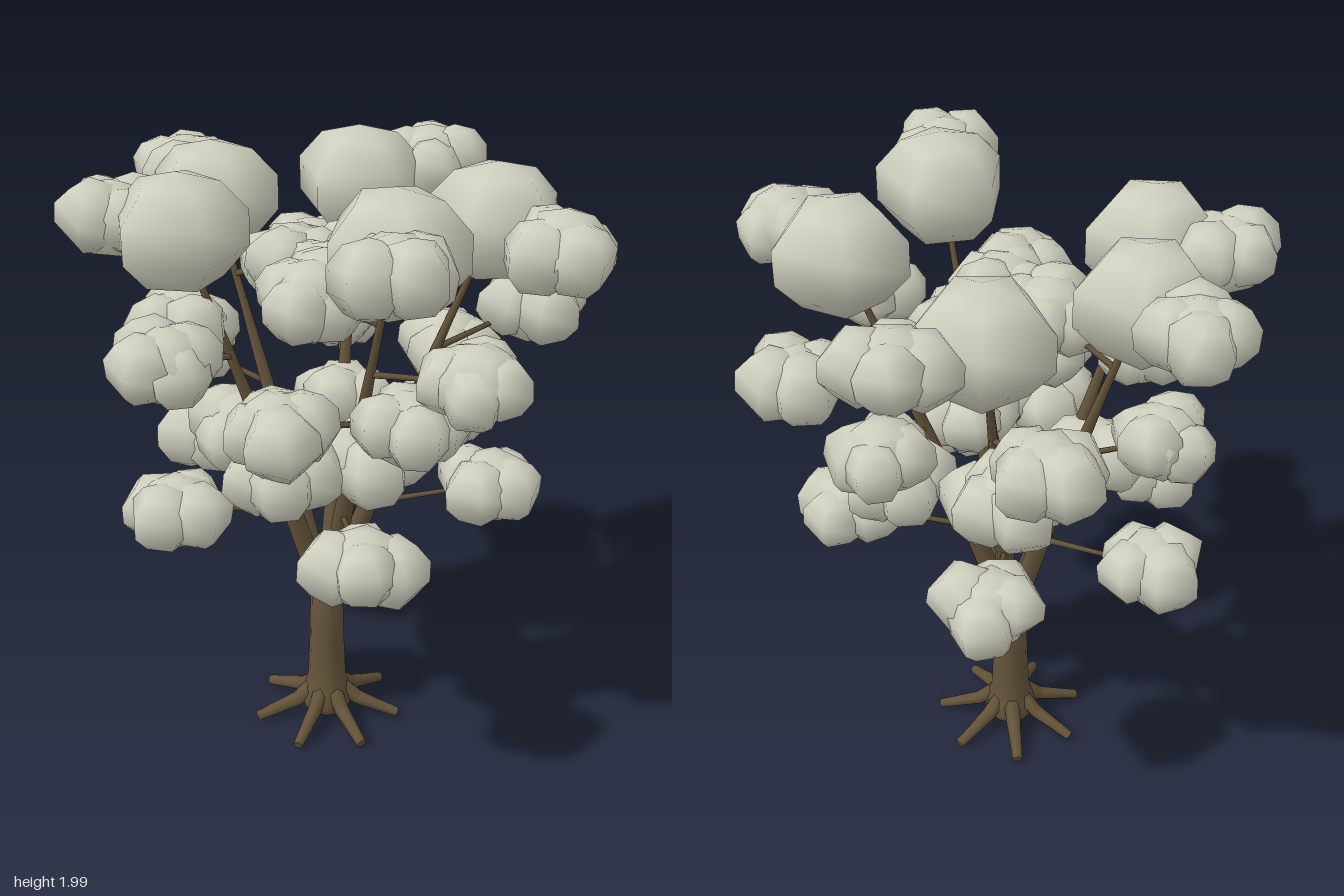
import * as THREE from 'three';

const bark = new THREE.MeshStandardMaterial({ color: 0x64543a });
const leaf = new THREE.MeshStandardMaterial({ color: 0xcfcfbf });
const BASE = new THREE.Vector3(-0.035, 0, -0.02);

// Five-sided smooth ball shared by all foliage
const ball = new THREE.SphereGeometry(1, 5, 5);

let seed = 7;
const rand = () => (seed = (seed * 16807) % 2147483647) / 2147483647;

// Tapered stick between two points
function stick(name, a, b, ra, rb, sides = 6) {
  const dir = b.clone().sub(a);
  const mesh = new THREE.Mesh(new THREE.CylinderGeometry(rb, ra, dir.length(), sides), bark);
  mesh.position.copy(a).lerp(b, 0.5);
  mesh.quaternion.setFromUnitVectors(new THREE.Vector3(0, 1, 0), dir.normalize());
  mesh.name = name;
  return mesh;
}

// Foliage ball with one corner pointing along the given angle
function puff(name, x, y, z, r, ry, degrees) {
  const mesh = new THREE.Mesh(ball, leaf);
  mesh.position.set(x, y, z);
  mesh.scale.set(r, ry, r);
  mesh.rotation.y = Math.PI - THREE.MathUtils.degToRad(degrees);
  mesh.name = name;
  return mesh;
}

// Group of a few large, slightly tilted, overlapping balls
function leafCluster(x, y, z) {
  const group = new THREE.Group();
  group.name = 'leafCluster';
  group.add(puff('leafBall', x, y, z, 0.135, 0.115, rand() * 360));
  const turn = rand() * 6.28;
  for (let i = 0; i < 4; i++) {
    const a = turn + (i * Math.PI) / 2;
    const d = 0.06 + rand() * 0.025;
    const r = 0.1 + rand() * 0.022;
    const leafBall = puff('leafBall', x + Math.cos(a) * d, y + (rand() - 0.5) * 0.04,
      z + Math.sin(a) * d, r, r * 0.92, rand() * 360);
    leafBall.rotation.x = (rand() - 0.5) * 0.4;
    leafBall.rotation.z = (rand() - 0.5) * 0.4;
    group.add(leafBall);
  }
  return group;
}

// Crown balls at the limb tips: x, y, z, corner angle
const CROWN = [
  [-0.46, 1.775, -0.11, 90],
  [-0.23, 1.765, -0.4, 90],
  [0.26, 1.76, -0.36, 85],
  [0.38, 1.785, 0.25, 75],
  [-0.06, 1.825, 0.44, 180],
];

// Leaf clusters in tiers: height, then x, z pairs
const TIERS = [
  [0.91, [[-0.53, -0.05], [-0.18, 0.5], [0.41, 0.25], [0.27, -0.42], [-0.24, -0.5]]],
  [1.1, [[-0.32, 0.24], [-0.03, 0.25], [0.32, 0.05], [0.12, -0.2], [-0.27, -0.14]]],
  [1.28, [[-0.34, 0.27], [0, 0.43], [0.42, -0.05], [0.22, -0.44], [-0.32, -0.4]]],
  [1.46, [[-0.59, 0.08], [0.12, 0.59], [0.58, 0.17], [0.2, -0.59], [-0.43, -0.17]]],
  [1.63, [[-0.1, -0.11], [0.16, -0.08], [-0.07, 0.09], [-0.19, 0.2]]],
  [1.78, [[-0.59, -0.3], [-0.22, -0.65], [0.54, -0.39], [0.42, 0.53], [-0.18, 0.64]]],
];

export function createModel() {
  const tree = new THREE.Group();
  tree.name = 'tree';

  // Trunk with flared foot
  const profile = [[0, 0.03], [0.075, 0.03], [0.088, 0.06], [0.08, 0.1], [0.064, 0.16],
    [0.058, 0.3], [0.052, 0.55], [0, 0.55]].map(([r, y]) => new THREE.Vector2(r, y));
  const trunk = new THREE.Mesh(new THREE.LatheGeometry(profile, 12), bark);
  trunk.position.copy(BASE);
  trunk.name = 'trunk';
  tree.add(trunk);

  // Roots, each bending outward to the ground
  for (let i = 0; i < 7; i++) {
    const a = (i * Math.PI * 2) / 7 + 0.66;
    const at = (d, y) => new THREE.Vector3(BASE.x + Math.cos(a) * d, y, BASE.z + Math.sin(a) * d);
    tree.add(stick('root', at(0.04, 0.12), at(0.11, 0.065), 0.03, 0.024));
    tree.add(stick('root', at(0.1, 0.07), at(0.245, 0.022), 0.025, 0.017));
  }

  // Limbs rising from the trunk into the crown balls
  const limbs = CROWN.map(([x, y, z, turn]) => {
    const tip = new THREE.Vector3(x, y, z);
    const start = new THREE.Vector3(BASE.x + (x - BASE.x) * 0.05, 0.52, BASE.z + (z - BASE.z) * 0.05);
    const curve = new THREE.QuadraticBezierCurve3(start, start.clone().lerp(tip, 0.5)
      .lerp(new THREE.Vector3(BASE.x, 1.15, BASE.z), 0.08), tip);
    const radii = [0.036, 0.031, 0.022, 0.013, 0.008];
    for (let i = 0; i < 4; i++) {
      tree.add(stick('limb', curve.getPoint(i / 4), curve.getPoint((i + 1) / 4), radii[i], radii[i + 1], 7));
    }
    tree.add(puff('crownBall', x, y, z, 0.215, 0.175, turn));
    return curve;
  });

  // Clusters, each on a twig from the nearest limb
  for (const [y, spots] of TIERS) {
    for (const [x, z] of spots) {
      const lift = y === 1.78 && z > 0.6 ? 0.06 : 0;
      const centre = new THREE.Vector3(x, y + lift, z);
      const joints = limbs.map((c) => c.getPoint(Math.max(0.2, (y - 0.6) / 1.27)));
      joints.sort((p, q) => p.distanceTo(centre) - q.distanceTo(centre));
      tree.add(stick('twig', joints[0], centre, 0.011, 0.006, 5));
      tree.add(leafCluster(centre.x, centre.y, centre.z));
    }
  }
  return tree;
}
